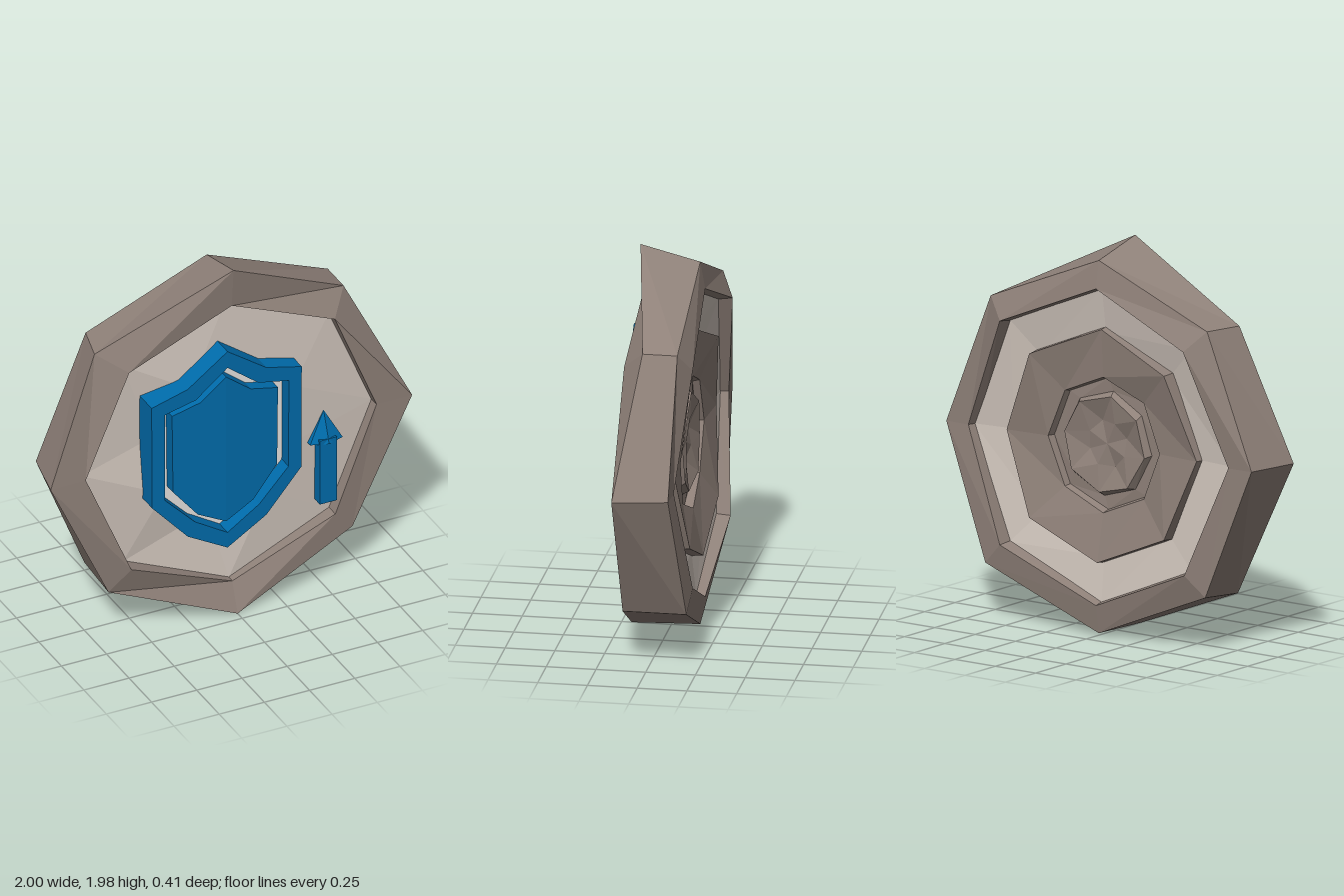
import * as THREE from 'three';

const CY = 0.96; // height of the medallion's centre

const material = (name, color) => {
  const m = new THREE.MeshStandardMaterial({ color, flatShading: true });
  m.name = name;
  return m;
};

// Eight points round the centre, from the right, counterclockwise; z may be a list
function ring(r, z, twist = 0) {
  return Array.from({ length: 8 }, (_, i) => {
    const a = (i * Math.PI) / 4 + twist;
    return [r * Math.cos(a), CY + r * Math.sin(a), Array.isArray(z) ? z[i] : z];
  });
}

// Faceted skin joining successive rings
function skin(rings) {
  const p = [];
  for (let k = 0; k + 1 < rings.length; k++) {
    const A = rings[k], B = rings[k + 1];
    for (let i = 0; i < 8; i++) {
      const j = (i + 1) % 8;
      p.push(...A[i], ...B[i], ...A[j], ...B[i], ...B[j], ...A[j]);
    }
  }
  const g = new THREE.BufferGeometry();
  g.setAttribute('position', new THREE.Float32BufferAttribute(p, 3));
  g.computeVertexNormals();
  return g;
}

// Shield outline, mirrored about its own axis; the listed half runs from top to bottom
const AX = -0.055;
function outline(half, Type = THREE.Shape) {
  const right = half.slice(1, -1).reverse().map(([x, y]) => [-x, y]);
  return new Type([...half, ...right].map(([x, y]) => new THREE.Vector2(x + AX, y)));
}

// Extruded plate whose front follows a rule z = front(x)
function plate(shape, back, front) {
  const g = new THREE.ExtrudeGeometry(shape, { depth: 1, bevelEnabled: false });
  const p = g.attributes.position;
  for (let i = 0; i < p.count; i++) {
    p.setZ(i, p.getZ(i) > 0.5 ? front(p.getX(i)) : back);
  }
  g.computeVertexNormals();
  return g;
}

export function createModel() {
  const stone = material('stone', 0x8f8179);
  const paleStone = material('paleStone', 0xd0c5bc);
  const inlay = material('inlay', 0xeeeae6);
  const blue = material('blue', 0x006cac);
  const model = new THREE.Group();
  const add = (name, geometry, mat) => {
    const m = new THREE.Mesh(geometry, mat);
    m.name = name;
    model.add(m);
    return m;
  };

  // Rough octagonal rim
  const frontEdge = [
    [1, 0.96, 0.13], [0.67, 1.635, 0.03], [0, 1.98, 0.155], [-0.72, 1.635, 0.055],
    [-1, 0.96, 0.13], [-0.67, 0.26, 0.11], [0, 0, 0.2], [0.67, 0.285, 0.13],
  ];
  const backEdge = [
    [0.945, 0.96, -0.145], [0.67, 1.635, -0.145], [0, 1.905, -0.145], [-0.67, 1.635, -0.145],
    [-0.945, 0.96, -0.145], [-0.67, 0.285, -0.16], [0, 0.01, -0.145], [0.67, 0.285, -0.19],
  ];
  add('rim', skin([
    ring(0.8, 0.03),
    ring(0.803, [0.13, 0.14, 0.135, 0.135, 0.125, 0.16, 0.14, 0.145]),
    frontEdge,
    backEdge,
    ring(0.805, [-0.15, -0.205, -0.17, -0.21, -0.15, -0.2, -0.17, -0.205]),
    ring(0.785, -0.08),
  ]), stone);

  // Pale, uneven front face
  add('frontFace', skin([
    ring(0, 0.09),
    ring(0.42, [0.095, 0.1, 0.095, 0.105, 0.06, 0.1, 0.065, 0.1], -0.25),
    ring(0.805, [0.075, 0.07, 0.07, 0.065, 0.08, 0.07, 0.1, 0.075]),
  ]), paleStone);

  // Pale channel on the back, sinking towards the middle
  add('backChannel', skin([
    ring(0.8, [-0.11, -0.13, -0.12, -0.14, -0.11, -0.13, -0.125, -0.13]),
    ring(0.57, [-0.085, -0.09, -0.085, -0.09, -0.085, -0.1, -0.1, -0.09]),
  ]), paleStone);

  // Raised dish on the back, with a small boss in a groove at its middle
  add('backDish', skin([
    ring(0.6, -0.07),
    ring(0.59, [-0.12, -0.165, -0.125, -0.165, -0.125, -0.165, -0.16, -0.165]),
    ring(0.345, [-0.105, -0.1, -0.11, -0.1, -0.105, -0.1, -0.11, -0.1]),
    ring(0.335, -0.065),
    ring(0.27, [-0.065, -0.07, -0.06, -0.07, -0.065, -0.07, -0.06, -0.07], 0.1),
    ring(0.25, [-0.1, -0.11, -0.095, -0.105, -0.1, -0.11, -0.095, -0.105], 0.15),
    ring(0.12, [-0.075, -0.06, -0.085, -0.065, -0.08, -0.06, -0.085, -0.065], 0.45),
    ring(0, -0.075),
  ]), stone);

  // Shield: hollow border leaning back on one side, pale gap, folded centre
  const outer = [[0, 1.545], [-0.22, 1.385], [-0.42, 1.33], [-0.417, 0.745], [-0.22, 0.525], [0, 0.4]];
  const hole = [[0, 1.45], [-0.175, 1.31], [-0.347, 1.27], [-0.345, 0.77], [-0.18, 0.6], [0, 0.488]];
  const core = [[0, 1.388], [-0.14, 1.275], [-0.295, 1.235], [-0.29, 0.79], [-0.155, 0.625], [0, 0.545]];

  const border = outline(outer);
  border.holes.push(outline(hole, THREE.Path));
  add('shieldBorder', plate(border, 0.05, (x) => 0.198 - 0.045 * Math.max(0, x - AX)), blue);
  add('shieldInlay', plate(outline(hole.map(([x, y]) => [x * 1.03, y])), 0.1, () => 0.107), inlay);

  // Each half of the centre falls away from the fold
  const halves = [['shieldCoreRight', -1, 0.03], ['shieldCoreLeft', 1, 0.06]];
  for (const [name, side, slope] of halves) {
    const shape = new THREE.Shape(core.map(([x, y]) => new THREE.Vector2(AX - side * x, y)));
    add(name, plate(shape, 0.08, (x) => 0.183 - slope * Math.abs(x - AX)), blue);
  }

  // Upward arrow
  const shaft = add('arrowShaft', new THREE.BoxGeometry(0.094, 0.37, 0.09), blue);
  shaft.position.set(0.53, 0.655, 0.098);
  const head = add('arrowHead', new THREE.ConeGeometry(0.104, 0.165, 6), blue);
  head.scale.z = 0.6;
  head.position.set(0.53, 0.898, 0.09);

  return model;
}
